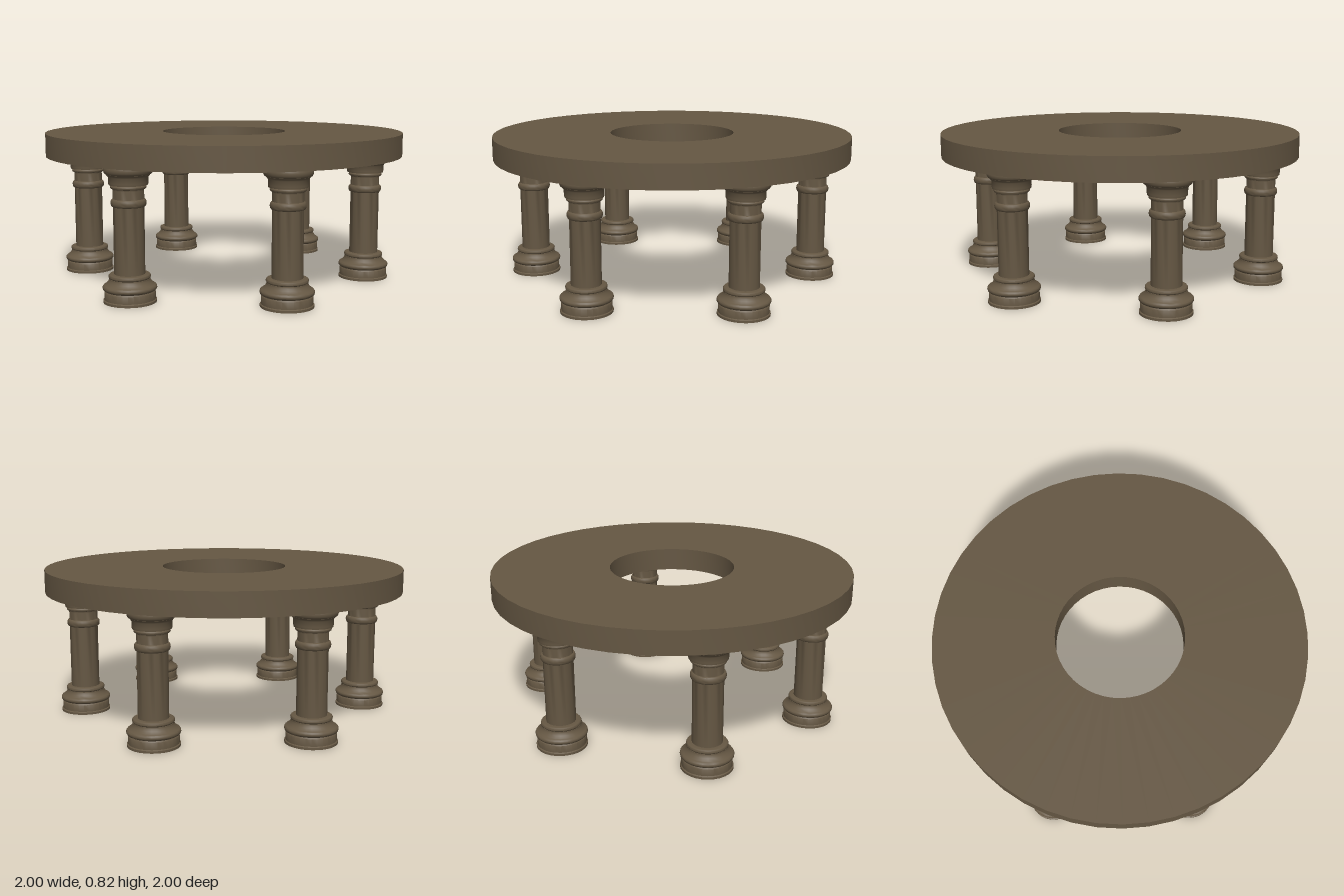
import * as THREE from 'three';
import { toCreasedNormals } from 'three/addons/utils/BufferGeometryUtils.js';

const stone = new THREE.MeshStandardMaterial({ color: 0x655743 });
stone.name = 'brown stone';

// Rounded moulding: a half-ellipse bulging from radius r between heights y0 and y1
function bead(r, bulge, y0, y1, steps = 6) {
  const points = [];
  for (let i = 0; i <= steps; i++) {
    const a = (i / steps) * Math.PI;
    points.push([r + bulge * Math.sin(a), y0 + (y1 - y0) * (1 - Math.cos(a)) / 2]);
  }
  return points;
}

function lathe(profile, sides) {
  const points = profile.map(([r, y]) => new THREE.Vector2(r, y));
  return toCreasedNormals(new THREE.LatheGeometry(points, sides), 0.7);
}

function part(name, geometry) {
  const mesh = new THREE.Mesh(geometry, stone);
  mesh.name = name;
  return mesh;
}

export function createModel() {
  const model = new THREE.Group();
  model.name = 'roundTable';

  // Ring-shaped top with a central opening
  model.add(part('tableTop', lathe(
    [[0.347, 0.7], [1, 0.7], [1, 0.825], [0.347, 0.825], [0.347, 0.7]], 48)));

  // Plinth, groove and stepped mouldings
  const base = lathe([
    [0, 0], [0.137, 0], [0.137, 0.012], [0.131, 0.016], [0.131, 0.054], [0.126, 0.06],
    ...bead(0.128, 0.011, 0.062, 0.09),
    [0.122, 0.095], [0.112, 0.104], [0.106, 0.115], [0.104, 0.122],
    ...bead(0.099, 0.009, 0.122, 0.145),
    [0.079, 0.146],
  ], 28);

  // Shaft with its neck ring
  const shaft = lathe([
    [0.079, 0.14], [0.079, 0.49], ...bead(0.08, 0.011, 0.49, 0.53), [0.079, 0.53], [0.079, 0.6],
  ], 28);

  // Capital: fillet, flared bell and rounded cushion
  const capital = lathe([
    [0.079, 0.575], ...bead(0.08, 0.012, 0.58, 0.6),
    [0.099, 0.601], [0.101, 0.612], [0.101, 0.64], [0.107, 0.648], [0.112, 0.654],
    ...bead(0.112, 0.013, 0.655, 0.7),
    [0, 0.7],
  ], 28);

  // Six columns in a circle
  for (let i = 0; i < 6; i++) {
    const angle = (i * Math.PI) / 3;
    const column = new THREE.Group();
    column.name = `column${i + 1}`;
    column.add(part('columnBase', base), part('columnShaft', shaft), part('columnCapital', capital));
    column.position.set(0.8 * Math.sin(angle), 0, 0.8 * Math.cos(angle));
    column.rotation.y = angle;
    model.add(column);
  }
  return model;
}
